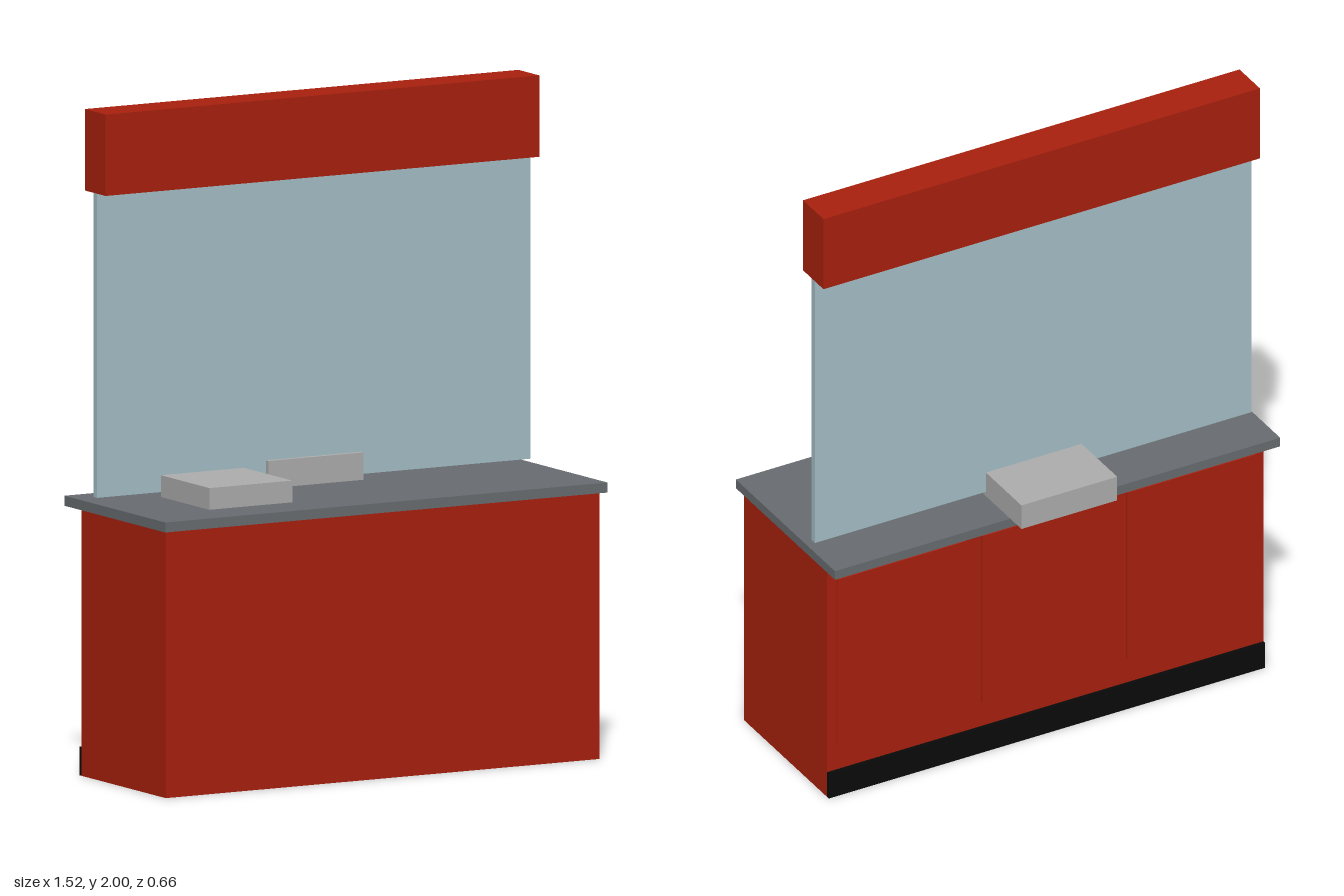
import * as THREE from 'three';

const mat = (name, color) => {
  const m = new THREE.MeshStandardMaterial({ color });
  m.name = name;
  return m;
};

export function createModel() {
  const red = mat('red', 0xab210e);
  const slate = mat('slate', 0x696e72);
  const grey = mat('lightGrey', 0xafafaf);
  const glass = mat('paleBlueGlass', 0xa7c1c9);
  const black = mat('black', 0x0a0a0a);

  const group = new THREE.Group();
  group.name = 'serviceCounter';

  // box given by its minimum and maximum on each axis
  const box = (name, material, [x0, x1], [y0, y1], [z0, z1]) => {
    const mesh = new THREE.Mesh(new THREE.BoxGeometry(x1 - x0, y1 - y0, z1 - z0), material);
    mesh.position.set((x0 + x1) / 2, (y0 + y1) / 2, (z0 + z1) / 2);
    mesh.name = name;
    group.add(mesh);
  };

  const width = [-0.743, 0.743];

  // cabinet and worktop
  box('cabinet', red, width, [0, 0.8], [-0.189, 0.307]);
  box('worktop', slate, [-0.758, 0.758], [0.8, 0.83], [-0.263, 0.33]);
  box('kickBoard', black, width, [0, 0.086], [-0.2, -0.189]);

  // three raised doors on the back
  for (const x of [-0.493, 0, 0.493]) {
    box('door', red, [x - 0.218, x + 0.218], [0.17, 0.75], [-0.197, -0.189]);
  }

  // screen and header above the worktop
  box('glassScreen', glass, width, [0.845, 1.756], [-0.117, -0.096]);
  box('header', red, width, [1.756, 2], [-0.168, -0.046]);

  // equipment on the worktop
  box('frontTray', grey, [-0.555, -0.271], [0.84, 0.905], [-0.044, 0.241]);
  box('passThroughTray', grey, [-0.165, 0.161], [0.83, 0.912], [-0.33, -0.08]);

  return group;
}
